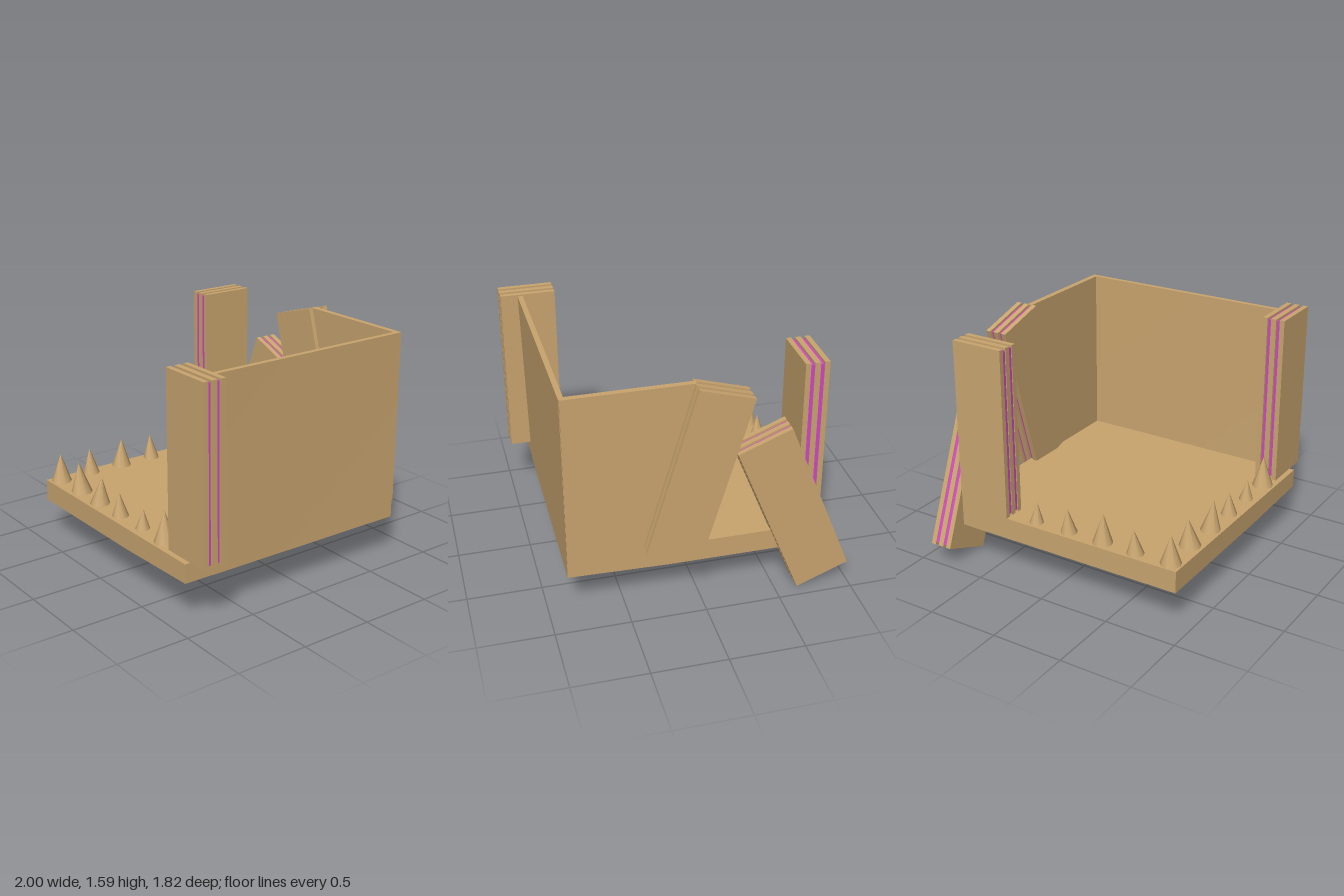
import * as THREE from 'three';

const wood = new THREE.MeshStandardMaterial({ color: 0xc9a56f });
wood.name = 'tan';
const filling = new THREE.MeshStandardMaterial({ color: 0xd445c8 });
filling.name = 'magenta';

function addMesh(parent, name, geometry, material) {
  const mesh = new THREE.Mesh(geometry, material);
  mesh.name = name;
  parent.add(mesh);
  return mesh;
}

// Outline in x, y extruded between two z values
function slab(points, z0, z1) {
  const shape = new THREE.Shape(points.map(([x, y]) => new THREE.Vector2(x, y)));
  const g = new THREE.ExtrudeGeometry(shape, { depth: z1 - z0, bevelEnabled: false });
  return g.translate(0, 0, z0);
}

// Upright layered board: three tan plates with two recessed magenta layers
function layeredBoard(name, inset) {
  const board = new THREE.Group();
  board.name = name;
  const width = 0.375, height = 1.18;
  const layers = [0.035, 0.026, 0.038, 0.026, 0.035];
  let z = -0.08;
  layers.forEach((t, i) => {
    const soft = i % 2 === 1;
    const g = new THREE.BoxGeometry(
      soft ? width - 2 * inset : width, soft ? height - 0.03 : height, t);
    addMesh(board, soft ? 'filling' : 'plate', g, soft ? filling : wood).position.z = z + t / 2;
    z += t;
  });
  return board;
}

export function createModel() {
  const model = new THREE.Group();
  model.name = 'brokenSpikedBox';

  // Base, its underside rising a little and its side splaying toward the back
  const base = slab([[-0.84, 0.26], [0.2, 0.262], [0.86, 0.28], [0.86, 0.41], [-0.84, 0.41]], -0.8, 0.91);
  const p = base.attributes.position;
  for (let i = 0; i < p.count; i++) {
    if (p.getX(i) > 0.5) p.setX(i, p.getZ(i) > 0 ? 0.853 : 0.868);
  }
  base.computeVertexNormals();
  addMesh(model, 'base', base, wood);

  // Side wall, leaning slightly outward at the front top
  const side = new THREE.BoxGeometry(0.035, 1.3, 1.51).translate(0.855, 0.93, -0.045);
  const s = side.attributes.position;
  for (let i = 0; i < s.count; i++) {
    const lean = s.getY(i) > 1 ? (s.getZ(i) > 0 ? 0.01 : 0) : (s.getZ(i) > 0 ? -0.015 : -0.003);
    s.setX(i, s.getX(i) + lean);
  }
  side.computeVertexNormals();
  addMesh(model, 'sideWall', side, wood);

  // Back wall with a broken, slanting edge
  addMesh(model, 'backWall',
    slab([[0.2, 0.4], [0.869, 0.4], [0.869, 1.58], [0.03, 1.58]], -0.81, -0.77), wood);

  // Layered boards: two standing, two knocked over
  const boards = [
    ['frontPost', 0.018, [0.8125, 1.0, 0.793], 0, 0],
    ['rearPost', 0.005, [-0.76, 1.0, -0.57], Math.PI / 2, 0],
    ['fallenBoard', 0.005, [-0.605, 0.62, -0.834], 0, -0.382],
    ['leaningBoard', 0.018, [0.025, 0.96, -0.82], 0, 0.284],
  ];
  for (const [name, inset, pos, turn, tilt] of boards) {
    const board = layeredBoard(name, inset);
    board.position.set(...pos);
    board.rotation.set(0, turn, tilt);
    model.add(board);
  }

  // Spikes along the two open edges: x, z, radius, height, tip lean
  const spikes = [
    [-0.765, 0.83, 0.072, 0.205, 0], [-0.505, 0.82, 0.075, 0.21, -0.03],
    [-0.255, 0.83, 0.07, 0.205, 0.04], [0.005, 0.83, 0.058, 0.17, -0.008],
    [0.26, 0.825, 0.05, 0.145, 0.015], [0.515, 0.825, 0.075, 0.22, 0],
    [-0.775, 0.58, 0.06, 0.18, -0.02], [-0.77, 0.33, 0.07, 0.21, 0.01],
    [-0.768, 0.07, 0.058, 0.18, -0.015], [-0.775, -0.185, 0.05, 0.145, 0.015],
  ];
  for (const [x, z, r, h, lean] of spikes) {
    const g = new THREE.ConeGeometry(r, h, 9, 1);
    const v = g.attributes.position;
    for (let i = 0; i < v.count; i++) {
      if (v.getY(i) > 0) v.setX(i, v.getX(i) + lean);
    }
    addMesh(model, 'spike', g, wood).position.set(x, 0.405 + h / 2, z);
  }
  return model;
}
